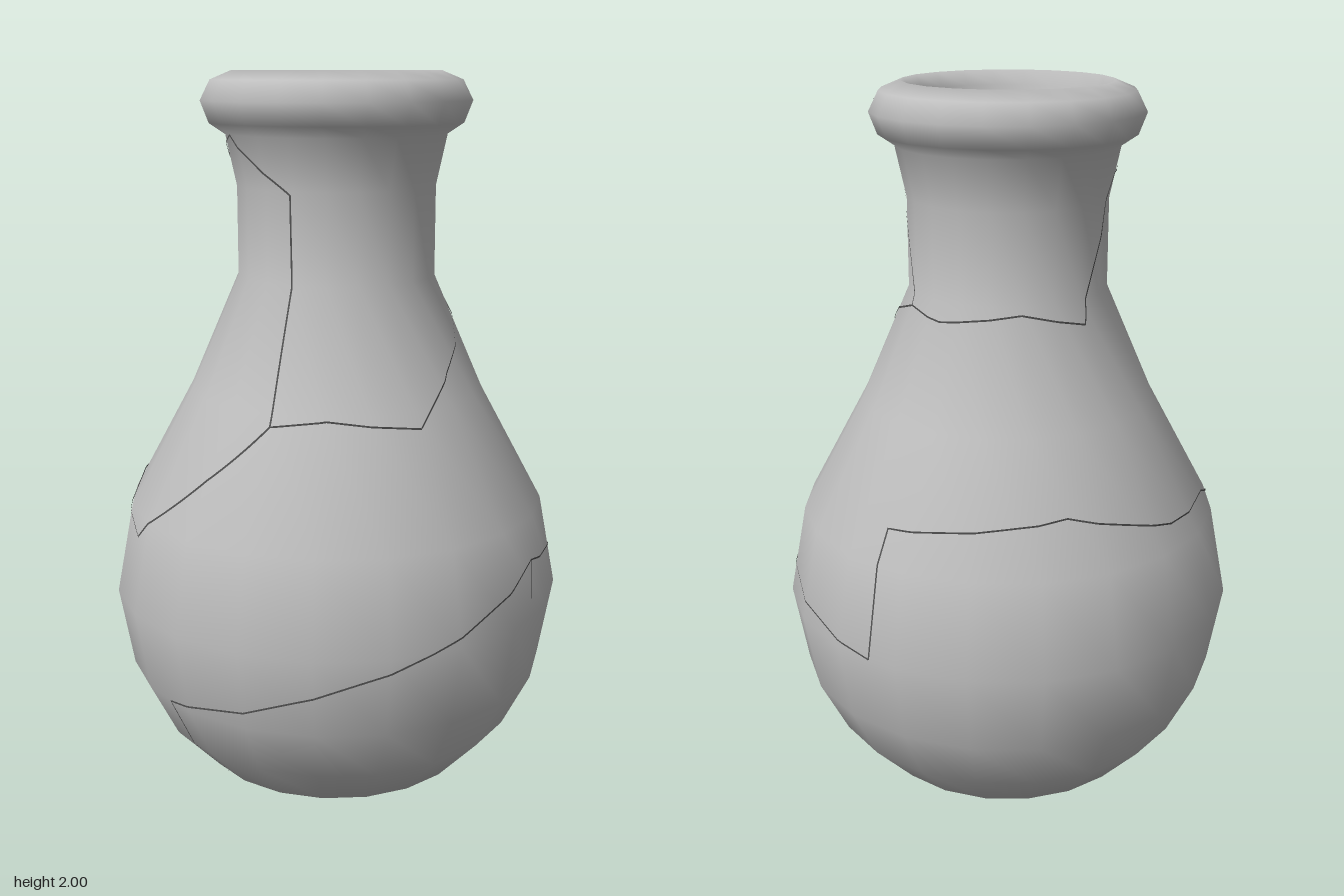
import * as THREE from 'three';

const SIDES = 20;

// Outer wall, from the centre of the base up to the lip
const outer = [
  [0, 0], [0.4, 0], [0.53, 0.14], [0.61, 0.3], [0.65, 0.53], [0.6, 0.79], [0.42, 1.12],
  [0.28, 1.44], [0.28, 1.69], [0.31, 1.83], [0.355, 1.86], [0.378, 1.92], [0.35, 1.975], [0.29, 2],
];
// Inner wall, from the lip down to the floor
const inner = [
  [0.265, 1.96], [0.235, 1.83], [0.215, 1.69], [0.215, 1.45], [0.35, 1.13], [0.53, 0.78],
  [0.58, 0.53], [0.54, 0.32], [0.47, 0.18], [0.36, 0.07], [0, 0.07],
];

// Point just above the faceted outer wall, at an angle from the front and a height
function onWall(deg, y) {
  let i = 1;
  while (i < outer.length - 2 && outer[i + 1][1] < y) i++;
  const [r0, y0] = outer[i], [r1, y1] = outer[i + 1];
  const r = r0 + (r1 - r0) * (y - y0) / (y1 - y0);
  const step = 360 / SIDES;
  const off = (((deg % step) + step) % step) - step / 2;
  const flat = Math.cos(Math.PI / SIDES) / Math.cos(off * Math.PI / 180);
  const a = deg * Math.PI / 180;
  const d = r * flat + 0.003;
  return new THREE.Vector3(d * Math.sin(a), y, d * Math.cos(a));
}

// Hairline ribbon following the wall through [angle, height] points
function crackGeometry(path, width = 0.006) {
  const pts = [];
  path.slice(1).forEach(([a1, y1], k) => {
    const [a0, y0] = path[k];
    const n = 24;
    for (let i = k ? 1 : 0; i <= n; i++) {
      pts.push(onWall(a0 + (a1 - a0) * i / n, y0 + (y1 - y0) * i / n));
    }
  });
  const pos = [], index = [];
  pts.forEach((p, i) => {
    const along = pts[Math.min(i + 1, pts.length - 1)].clone().sub(pts[Math.max(i - 1, 0)]);
    const out = new THREE.Vector3(p.x, 0, p.z);
    const side = along.cross(out).normalize().multiplyScalar(width / 2);
    pos.push(...p.clone().add(side).toArray(), ...p.clone().sub(side).toArray());
    if (i) {
      const b = i * 2;
      index.push(b - 2, b, b - 1, b - 1, b, b + 1);
    }
  });
  const g = new THREE.BufferGeometry();
  g.setAttribute('position', new THREE.Float32BufferAttribute(pos, 3));
  g.setIndex(index);
  g.computeVertexNormals();
  return g;
}

export function createModel() {
  const model = new THREE.Group();
  model.name = 'crackedVase';

  const clay = new THREE.MeshStandardMaterial({ color: 0xbebebe });
  clay.name = 'grey clay';
  const dark = new THREE.MeshStandardMaterial({ color: 0x505050, side: THREE.DoubleSide });
  dark.name = 'crack grey';

  // Hollow body, one closed profile
  const profile = [...outer, ...inner].map(([r, y]) => new THREE.Vector2(r, y));
  const body = new THREE.Mesh(new THREE.LatheGeometry(profile, SIDES), clay);
  body.name = 'vaseBody';
  model.add(body);

  // Cracks between the shards
  const cracks = {
    shoulderCrack: [[-73, 0.85], [-43, 0.73], [0, 1.09], [20, 1.11], [54, 1.08], [75, 1.2], [119, 1.37], [145, 1.41], [170, 1.39], [215, 1.42], [250, 1.38]],
    neckSideCrack: [[145, 1.41], [118, 1.76], [119, 1.95]],
    neckFrontCrack: [[0, 1.09], [-2, 1.68], [-45, 1.83], [-75, 1.76], [-110, 1.38]],
    bellyCrack: [[-27, 0.01], [-26, 0.3], [0, 0.35], [18, 0.42], [39, 0.5], [85, 0.68], [130, 0.61], [172, 0.53]],
    backCrack: [[-73, 0.85], [-100, 0.85], [-135, 0.93], [-188, 0.88], [-188, 0.53]],
    lowerSideCrack: [[85, 0.68], [82, 0.58]],
  };
  const crackGroup = new THREE.Group();
  crackGroup.name = 'cracks';
  for (const [name, path] of Object.entries(cracks)) {
    const mesh = new THREE.Mesh(crackGeometry(path, 0.005), dark);
    mesh.name = name;
    crackGroup.add(mesh);
  }
  model.add(crackGroup);
  return model;
}
